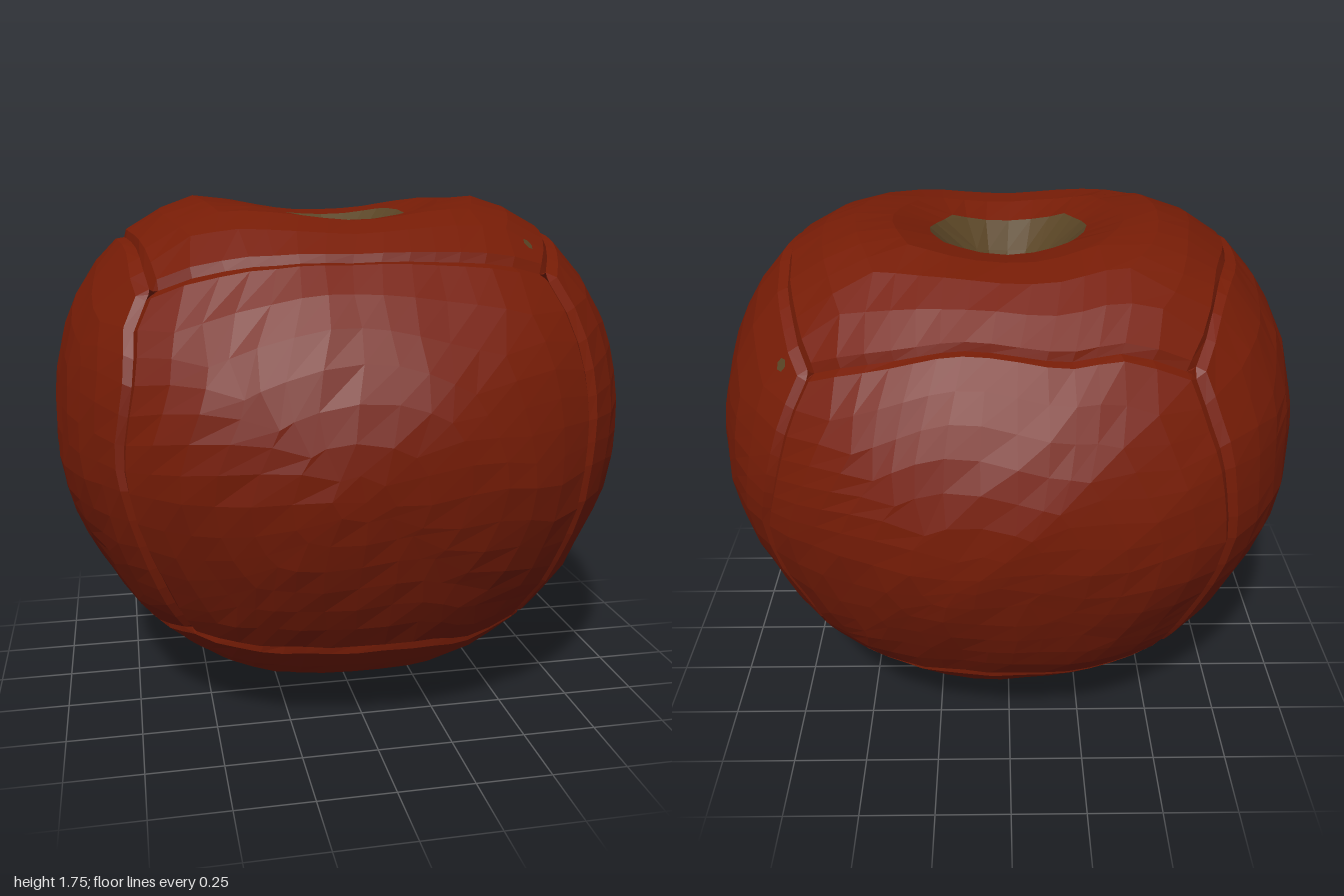
import * as THREE from 'three';

const N = 16;            // cells along each patch
const HOLLOW_RINGS = 3;  // grid rings of the top patch that are brown
const CENTRE_Y = 0.9;
// Distance from the centre for every 10 degrees, from the top hollow down to the base
const PROFILE = [0.53, 0.635, 0.835, 0.94, 0.975, 0.998, 1.008, 1.013, 1.008, 0.995,
  0.97, 0.948, 0.938, 0.928, 0.915, 0.9, 0.888, 0.888, 0.9];

function profileAt(theta) {
  const t = Math.min(theta / Math.PI * 18, 17.999);
  const i = Math.floor(t);
  return THREE.MathUtils.lerp(PROFILE[i], PROFILE[i + 1], t - i);
}

// Point of the fruit skin in a given direction, sunk by an amount
function skinPoint(dir, sink = 0) {
  const d = dir.clone().normalize();
  const theta = Math.acos(THREE.MathUtils.clamp(d.y, -1, 1));
  const lumps = 0.006 * Math.sin(9 * d.x + 4 * d.z) * Math.sin(8 * d.y - 5 * d.z + 1)
    + 0.003 * Math.sin(23 * d.x + 17 * d.y + 19 * d.z);
  // slightly squarish seen from above
  const square = 0.14 * (d.x * d.z) ** 2 / (d.x * d.x + d.z * d.z + 1e-6);
  const p = d.clone().multiplyScalar(profileAt(theta) + lumps * (1 - d.y ** 4) + square - sink);
  // the rim is higher at the two sides than at front and back
  if (d.y > 0) p.y += 0.16 * (d.x * d.x - d.z * d.z) * d.y;
  p.z *= 0.95;
  p.y += CENTRE_Y;
  return p;
}

// Shifts the seams: turned a little, top patch wider, base patch smaller
function wander(d) {
  const k = 1 - d.y ** 4;
  const up = Math.max(d.y, 0), down = Math.max(-d.y, 0);
  const wobble = 0.015 * Math.sin(11 * d.x + 9 * d.y - 10 * d.z);
  return new THREE.Vector3(
    d.x + k * (wobble - 0.1 * d.z),
    d.y + k * (wobble + 0.33 * down * (1 - 9 * d.x * d.x * d.z * d.z) - 0.22 * up * d.x * d.x),
    d.z + k * (wobble - 0.13 * up));
}

// One of six skin patches: a grid wrapped on the fruit, its border tucked in.
// Inner rings of the grid are rounded into circles.
function patchGeometry(rotX, rotY) {
  const geo = new THREE.PlaneGeometry(2, 2, N, N);
  const pos = geo.attributes.position;
  const turn = new THREE.Euler(rotX, rotY, 0);
  const inner = 0.97 / (1 - 2 / N);
  for (let i = 0; i < pos.count; i++) {
    let u = pos.getX(i), v = pos.getY(i);
    const edgeU = Math.abs(u) > 0.999, edgeV = Math.abs(v) > 0.999;
    if (!edgeU) u *= inner;
    if (!edgeV) v *= inner;
    const m = Math.max(Math.abs(u), Math.abs(v));
    let s = m > 0 ? THREE.MathUtils.lerp(m / Math.hypot(u, v), 1, m * m) : 1;
    if (edgeU && edgeV) s = 0.99;
    const d = new THREE.Vector3(Math.tan(u * s * Math.PI / 4), Math.tan(v * s * Math.PI / 4), 1);
    d.applyEuler(turn).normalize();
    const p = skinPoint(wander(d), edgeU || edgeV ? 0.016 : 0);
    pos.setXYZ(i, p.x, p.y, p.z);
  }
  geo.computeVertexNormals();
  return geo;
}

// Keeps the grid cells inside or outside the hollow
function pickCells(geo, inside) {
  const out = geo.clone(), keep = [];
  for (let c = 0; c < N * N; c++) {
    const col = c % N + 0.5 - N / 2, row = Math.floor(c / N) + 0.5 - N / 2;
    const inHollow = Math.max(Math.abs(col), Math.abs(row)) < HOLLOW_RINGS;
    if (inHollow === inside) for (let k = 0; k < 6; k++) keep.push(geo.index.getX(c * 6 + k));
  }
  out.setIndex(keep);
  out.computeVertexNormals();
  return out;
}

export function createModel() {
  const group = new THREE.Group();
  group.name = 'fruit';
  const red = new THREE.MeshStandardMaterial({ color: 0x761c06, flatShading: true, side: THREE.DoubleSide });
  red.name = 'red skin';
  const brown = new THREE.MeshStandardMaterial({ color: 0x594425, flatShading: true, side: THREE.DoubleSide });
  brown.name = 'olive brown';

  const add = (name, geo, material) => {
    const mesh = new THREE.Mesh(geo, material);
    mesh.name = name;
    group.add(mesh);
    return mesh;
  };

  // Skin patches around the sides and base
  const q = Math.PI / 2;
  const patches = { frontSkin: [0, 0], leftSkin: [0, q], backSkin: [0, 2 * q], rightSkin: [0, -q], baseSkin: [q, 0] };
  for (const [name, [rx, ry]] of Object.entries(patches)) add(name, patchGeometry(rx, ry), red);

  // Top patch with the brown stem hollow
  const top = patchGeometry(-q, 0);
  add('topSkin', pickCells(top, false), red);
  add('stemHollow', pickCells(top, true), brown);

  // Two small spots on the shoulder
  for (const [x, y, z] of [[0.54, 0.69, 0.5], [0.72, 0.53, -0.61]]) {
    const d = new THREE.Vector3(x, y, z).normalize();
    const spot = add('spot', new THREE.CircleGeometry(0.022, 6), brown);
    spot.position.copy(skinPoint(d, -0.008));
    spot.quaternion.setFromUnitVectors(new THREE.Vector3(0, 0, 1), d);
  }
  return group;
}
